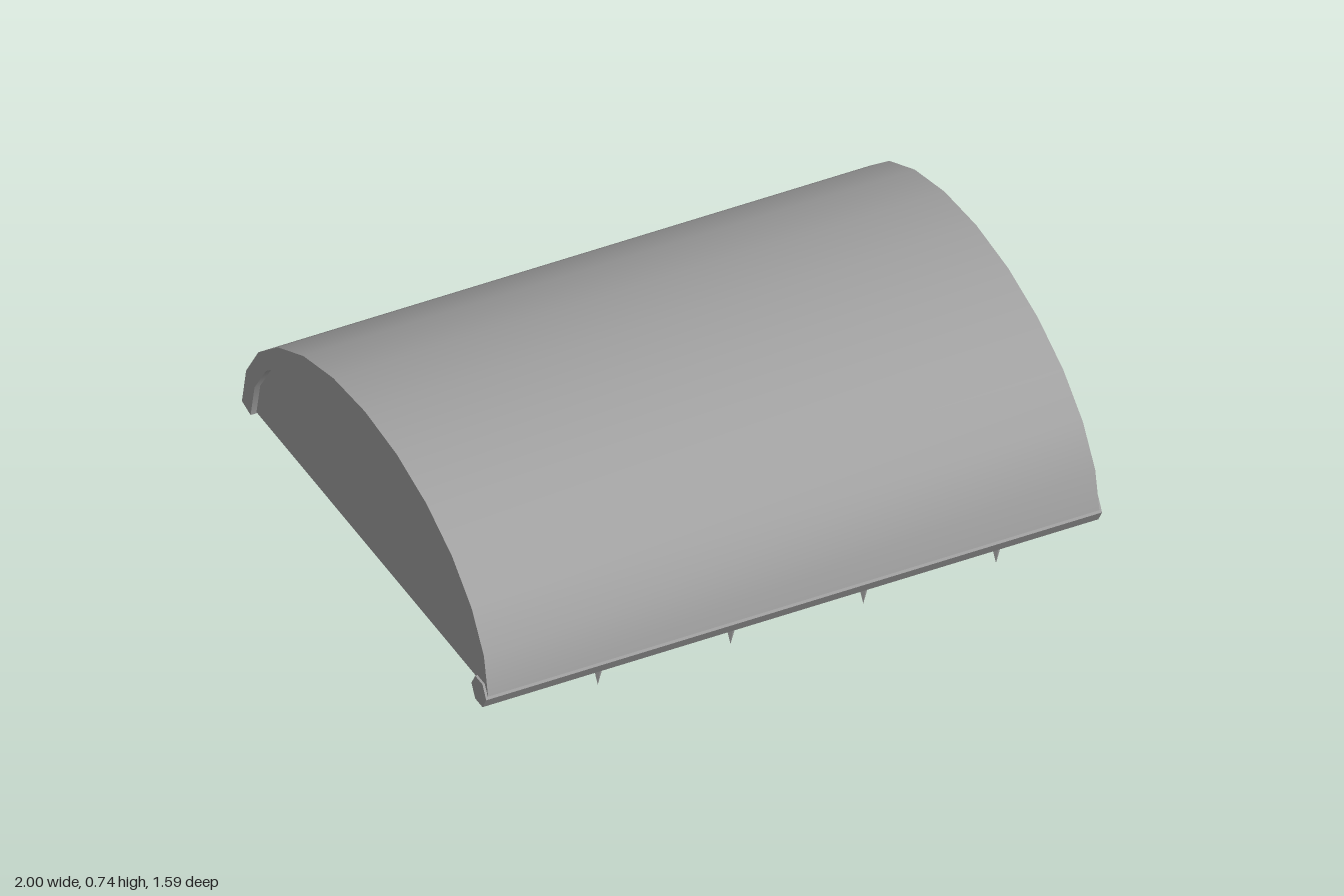
import * as THREE from 'three';
import { toCreasedNormals } from 'three/addons/utils/BufferGeometryUtils.js';

const SEGMENTS = 12;

// Half-ellipse points from +z round over the top to -z
function arc(a, b, y0) {
  return Array.from({ length: SEGMENTS + 1 }, (_, i) => {
    const t = (i / SEGMENTS) * Math.PI;
    return new THREE.Vector2(a * Math.cos(t), y0 + b * Math.sin(t));
  });
}

// Extrude a z-y profile along x, centred at x
function extrudeAlongX(points, width, x) {
  const geo = new THREE.ExtrudeGeometry(new THREE.Shape(points), {
    depth: width, bevelEnabled: false,
  });
  geo.translate(0, 0, -width / 2);
  geo.rotateY(Math.PI / 2);
  geo.translate(x, 0, 0);
  return toCreasedNormals(geo, 0.6);
}

export function createModel() {
  const group = new THREE.Group();
  const grey = new THREE.MeshStandardMaterial({ color: 0xa0a0a0 });
  grey.name = 'grey';
  const facetedGrey = (geo) => {
    const flat = geo.toNonIndexed();
    flat.computeVertexNormals();
    return flat;
  };
  const add = (name, geo) => {
    const mesh = new THREE.Mesh(geo, grey);
    mesh.name = name;
    group.add(mesh);
    return mesh;
  };

  // Curved lid shell, open underneath
  const outer = arc(0.793, 0.5, 0.238);
  const inner = arc(0.737, 0.455, 0.225).reverse();
  add('lidShell', extrudeAlongX([...outer, ...inner], 1.985, 0));

  // Slightly recessed end panels, tucked into the shell
  for (const side of [1, -1]) {
    add(side > 0 ? 'leftEndPanel' : 'rightEndPanel',
      extrudeAlongX(arc(0.762, 0.475, 0.23), 0.008, side * 0.97));
  }

  // Six-sided bar along the front lip
  const bar = new THREE.CylinderGeometry(0.0475, 0.0475, 2, 6);
  bar.rotateZ(Math.PI / 2);
  bar.translate(0, 0.229, 0.748);
  add('frontLipBar', facetedGrey(bar));

  // Row of teeth, alternating short and long
  const teeth = new THREE.Group();
  teeth.name = 'teeth';
  group.add(teeth);
  for (let i = 0; i < 8; i++) {
    const height = i % 2 ? 0.25 : 0.185;
    const cone = new THREE.ConeGeometry(0.06, height, 5);
    cone.rotateZ(Math.PI);
    cone.translate(-0.757 + i * 0.2155, 0.25 - height / 2, 0.605);
    teeth.add(add(i % 2 ? 'longTooth' : 'shortTooth', facetedGrey(cone)));
  }

  return group;
}
